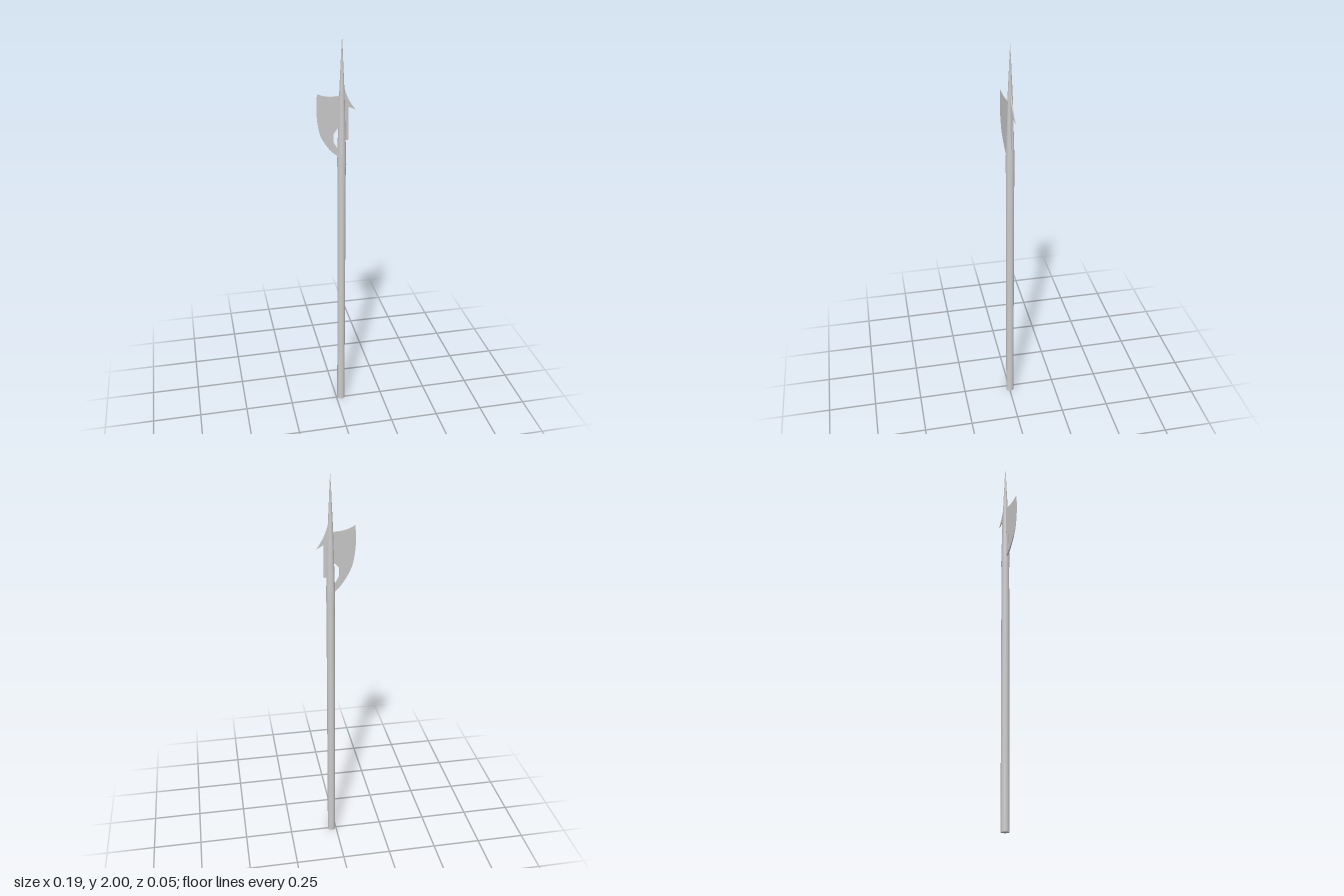
import * as THREE from 'three';

const AXIS_X = 0.025, AXIS_Z = -0.002, TURN = 0.18;

export function createModel() {
  const model = new THREE.Group();
  model.name = 'halberd';
  model.position.set(AXIS_X, 0, AXIS_Z);
  const root = new THREE.Group();
  root.name = 'weapon';
  root.add(model);

  const add = (name, geometry) => {
    const material = new THREE.MeshStandardMaterial({ color: 0xcccccc, side: THREE.DoubleSide });
    const mesh = new THREE.Mesh(geometry, material);
    mesh.name = name;
    model.add(mesh);
    return mesh;
  };
  const lathe = (points, sides) =>
    new THREE.LatheGeometry(points.map(([r, y]) => new THREE.Vector2(r, y)), sides);

  // Long wooden shaft
  const shaft = new THREE.CylinderGeometry(0.0205, 0.0205, 1.4, 16);
  shaft.translate(0, 0.7, 0);
  add('shaft', shaft);

  // Tapering metal socket with an underside lip
  add('socket', lathe([[0.0195, 1.375], [0.022, 1.375], [0.021, 1.45], [0.0175, 1.57], [0.013, 1.73]], 16));

  // Slender spike
  add('spike', lathe([[0.013, 1.73], [0.0105, 1.79], [0.007, 1.86], [0.0035, 1.94], [0, 2]], 12));

  // Small rivet at the foot of the socket
  const rivet = new THREE.SphereGeometry(0.003, 8, 6);
  rivet.translate(0.0215, 1.382, 0);
  rivet.rotateY(TURN);
  add('rivet', rivet);

  // Flat parts thin out away from the shaft and lie in one turned plane
  const u = x => (x - AXIS_X) / Math.cos(TURN);
  const plate = (name, shape, reach) => {
    const geometry = new THREE.ExtrudeGeometry(shape, { depth: 2, bevelEnabled: false, curveSegments: 8 });
    geometry.translate(0, 0, -1);
    const p = geometry.attributes.position;
    for (let i = 0; i < p.count; i++) {
      const t = Math.min(1, Math.abs(p.getX(i)) / reach);
      p.setZ(i, p.getZ(i) * (0.0045 - 0.0035 * t));
    }
    geometry.computeVertexNormals();
    geometry.rotateY(TURN);
    add(name, geometry);
  };

  // Axe blade: concave top, curved cutting edge, lower tail and an opening by the shaft
  const blade = new THREE.Shape();
  blade.moveTo(u(0.025), 1.725);
  blade.lineTo(u(0.005), 1.725);
  blade.quadraticCurveTo(u(-0.055), 1.722, u(-0.095), 1.745);
  blade.quadraticCurveTo(u(-0.108), 1.64, u(-0.082), 1.547);
  blade.quadraticCurveTo(u(-0.045), 1.465, u(0.005), 1.43);
  blade.lineTo(u(0.025), 1.425);
  blade.lineTo(u(0.025), 1.46);
  blade.lineTo(u(0.004), 1.468);
  blade.lineTo(u(-0.018), 1.505);
  blade.lineTo(u(-0.018), 1.545);
  blade.lineTo(u(0.003), 1.57);
  blade.lineTo(u(0.025), 1.575);
  blade.closePath();
  plate('axeBlade', blade, 0.128);

  // Rear beak with its long mounting plate
  const beak = new THREE.Shape();
  beak.moveTo(u(0.025), 1.775);
  beak.lineTo(u(0.033), 1.775);
  beak.quadraticCurveTo(u(0.045), 1.71, u(0.094), 1.65);
  beak.quadraticCurveTo(u(0.075), 1.66, u(0.058), 1.668);
  beak.lineTo(u(0.058), 1.507);
  beak.lineTo(u(0.025), 1.507);
  beak.closePath();
  plate('rearBeak', beak, 0.072);

  return root;
}
